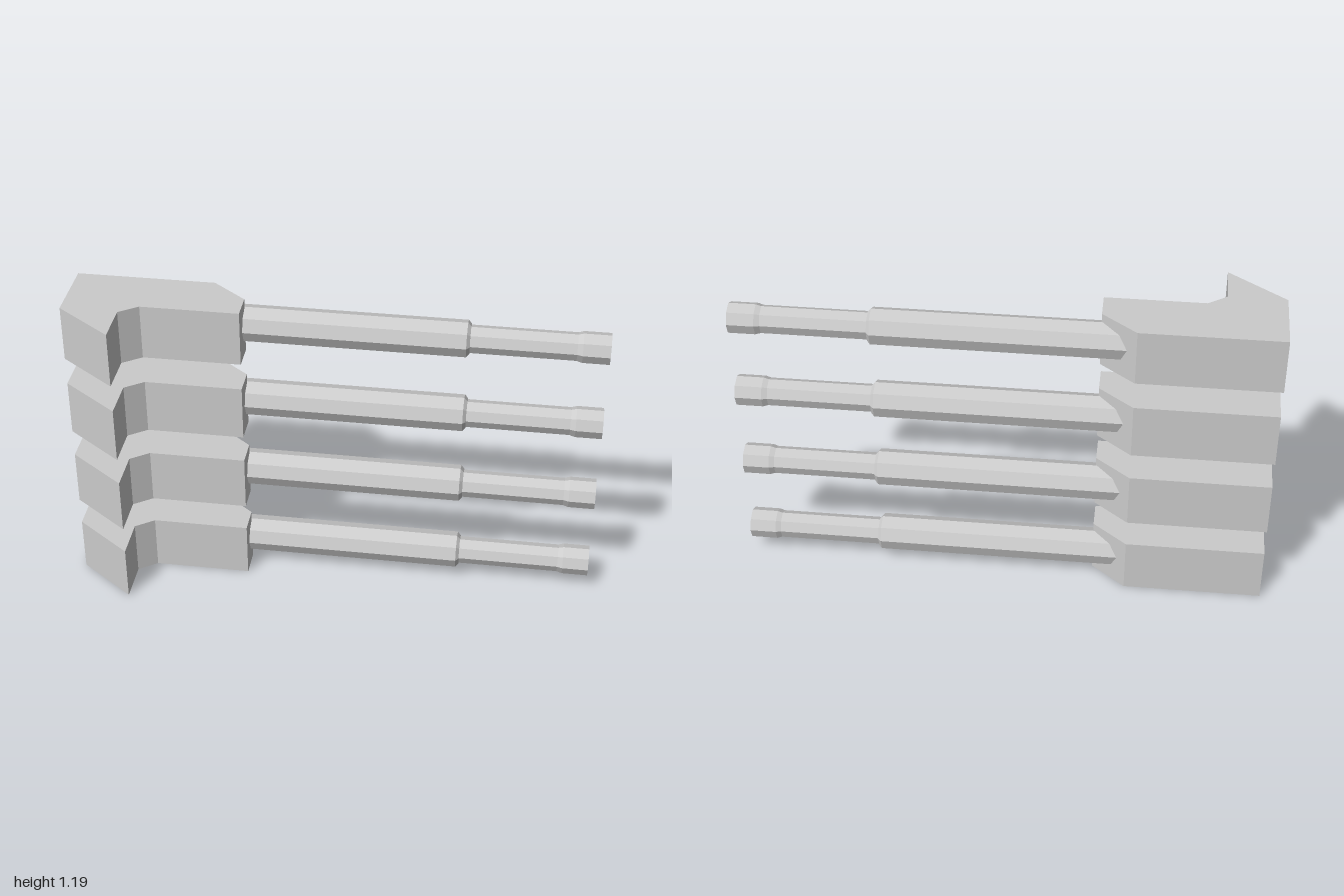
import * as THREE from 'three';

const material = new THREE.MeshStandardMaterial({ color: 0xcccccc, flatShading: true });

// Hooked mounting block: plan outline as [x, z], extruded upwards
function blockGeometry(height) {
  const outline = [
    [-1, 0.05], [-0.785, 0.213], [-0.785, 0.05], [-0.715, 0],
    [-0.345, 0], [-0.345, -0.107], [-0.475, -0.213], [-1, -0.213],
  ];
  const shape = new THREE.Shape(outline.map(([x, z]) => new THREE.Vector2(x, -z)));
  return new THREE.ExtrudeGeometry(shape, { depth: height, bevelEnabled: false }).rotateX(-Math.PI / 2);
}

// Eight-sided stepped barrel with a hollow muzzle: profile as [radius, x]
function barrelGeometry() {
  const profile = [
    [0, -0.5], [0.07, -0.5], [0.07, 0.48], [0.056, 0.492],
    [0.053, 0.492], [0.053, 0.88], [0.059, 0.9], [0.059, 1],
    [0.047, 1], [0.047, 0.9], [0, 0.9],
  ].map(([r, x]) => new THREE.Vector2(r, x));
  return new THREE.LatheGeometry(profile, 8).rotateZ(-Math.PI / 2).rotateX(0.07);
}

export function createModel() {
  const model = new THREE.Group();
  model.name = 'barrelBattery';
  const height = 0.217;
  const spacing = 0.3255;
  const block = blockGeometry(height);
  const barrel = barrelGeometry();

  // Four identical units stacked with gaps between them
  for (let i = 0; i < 4; i++) {
    const unit = new THREE.Group();
    unit.name = `gunUnit${i + 1}`;
    unit.position.y = i * spacing;

    const blockMesh = new THREE.Mesh(block, material);
    blockMesh.name = 'mountingBlock';
    const barrelMesh = new THREE.Mesh(barrel, material);
    barrelMesh.name = 'barrel';
    barrelMesh.position.set(0, 0.114, -0.115);

    unit.add(blockMesh, barrelMesh);
    model.add(unit);
  }
  return model;
}
